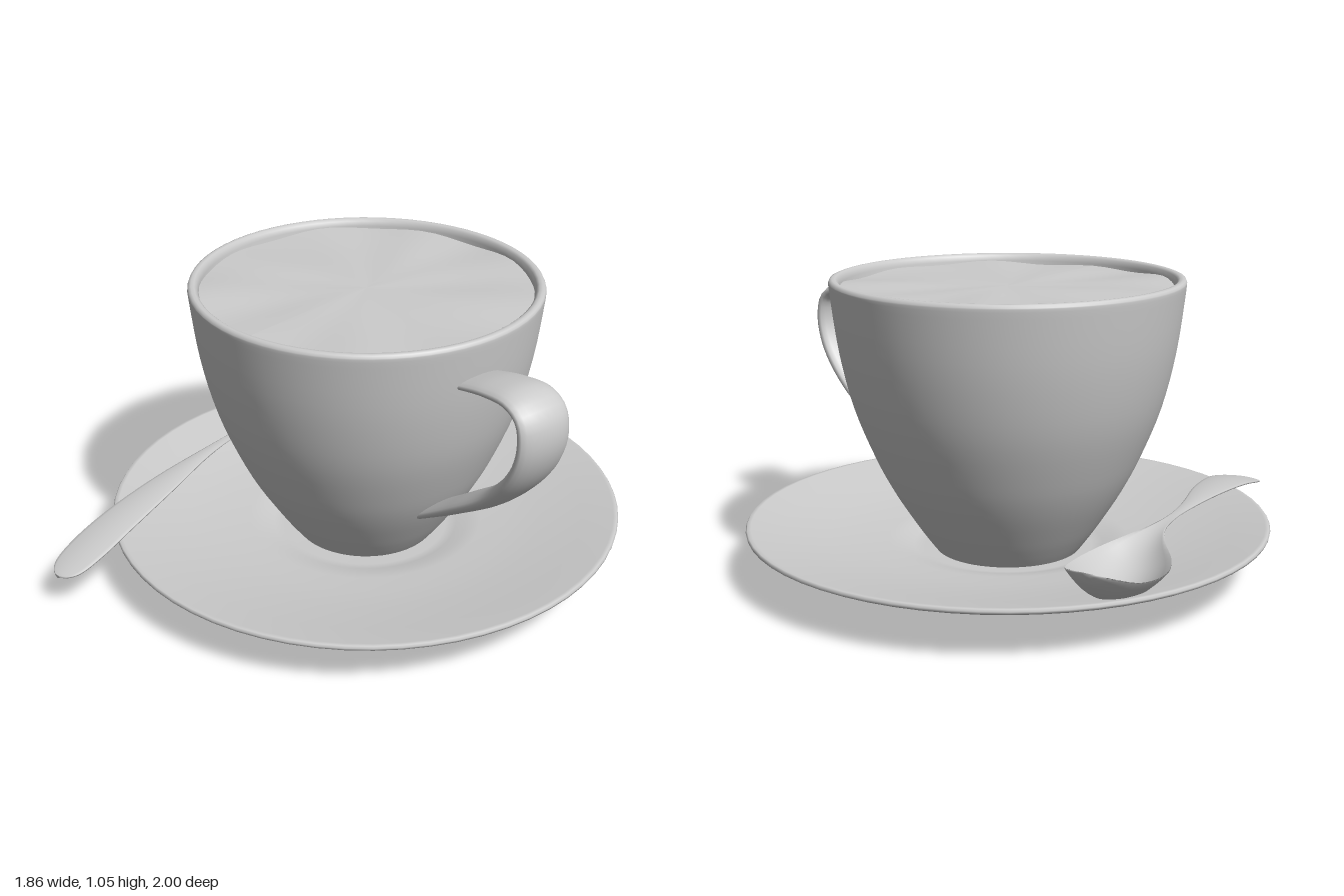
import * as THREE from 'three';

const material = new THREE.MeshStandardMaterial({ color: 0xcccccc, roughness: 0.6 });
const V2 = (p) => new THREE.Vector2(p[0], p[1]);
const V3 = (p) => new THREE.Vector3(...p);

function part(name, geometry, x = 0, z = 0) {
  const mesh = new THREE.Mesh(geometry, material);
  mesh.name = name;
  mesh.position.set(x, 0, z);
  return mesh;
}

// Skin over closed rings of Vector3, with a fan cap at each end.
function loft(rings) {
  const n = rings[0].length;
  const all = rings.flat();
  const index = [];
  for (let i = 0; i < rings.length - 1; i++) {
    for (let j = 0; j < n; j++) {
      const a = i * n + j, b = i * n + (j + 1) % n;
      index.push(a, b, a + n, b, b + n, a + n);
    }
  }
  const last = (rings.length - 1) * n;
  for (let j = 1; j < n - 1; j++) {
    index.push(0, j + 1, j, last, last + j, last + j + 1);
  }
  const geometry = new THREE.BufferGeometry().setFromPoints(all);
  geometry.setIndex(index);
  geometry.computeVertexNormals();
  return geometry;
}

// Shallow dish with a flat foot and a small well under the cup
function saucer() {
  const profile = [
    [0, 0], [0.35, 0], [0.35, 0], [0.45, 0.018], [0.57, 0.05], [0.75, 0.107], [0.915, 0.16],
    [0.928, 0.167], [0.93, 0.175], [0.925, 0.182], [0.912, 0.182],
    [0.8, 0.158], [0.65, 0.128], [0.52, 0.109], [0.43, 0.102], [0.38, 0.095],
    [0.34, 0.08], [0.3, 0.072], [0, 0.07],
  ];
  return new THREE.LatheGeometry(profile.map(V2), 64);
}

// Bowl of the cup: curved outer wall, rounded lip, inner wall and floor
function cup() {
  const outer = new THREE.SplineCurve([
    [0.26, 0.075], [0.29, 0.115], [0.335, 0.18], [0.41, 0.3], [0.47, 0.42],
    [0.54, 0.6], [0.587, 0.8], [0.613, 1.0], [0.615, 1.035],
  ].map(V2)).getPoints(32);
  const inner = [
    [0.611, 1.043], [0.603, 1.046], [0.592, 1.045], [0.583, 1.038], [0.578, 1.02],
    [0.572, 0.95], [0.55, 0.8], [0.5, 0.6], [0.43, 0.42], [0.3, 0.2], [0, 0.16],
  ].map(V2);
  return new THREE.LatheGeometry([V2([0, 0.075]), V2([0.26, 0.075]), ...outer, ...inner], 64);
}

// Drink surface with faint ripples that fade to the middle
function drink() {
  const profile = [];
  for (let i = 12; i >= 0; i--) profile.push(new THREE.Vector2(0.577 * i / 12, 1.012));
  const geometry = new THREE.LatheGeometry(profile, 64);
  const p = geometry.attributes.position;
  for (let i = 0; i < p.count; i++) {
    const r = Math.hypot(p.getX(i), p.getZ(i)) / 0.577;
    const a = Math.atan2(p.getZ(i), p.getX(i));
    p.setY(i, 1.012 + 0.005 * r * r * Math.sin(9 * a) + 0.004 * r * Math.sin(4 * a + 5 * r));
  }
  geometry.computeVertexNormals();
  return geometry;
}

// Flat oval ribbon swept along the handle curve
function handle() {
  const path = new THREE.CatmullRomCurve3([
    [0.575, 0.888, 0], [0.71, 0.918, 0], [0.82, 0.922, 0], [0.878, 0.885, 0], [0.894, 0.8, 0],
    [0.86, 0.69, 0], [0.75, 0.555, 0], [0.57, 0.425, 0], [0.385, 0.305, 0],
  ].map(V3));
  const side = new THREE.Vector3(0, 0, 1);
  const rings = [];
  for (let i = 0; i <= 48; i++) {
    const t = i / 48;
    const centre = path.getPointAt(t);
    const normal = path.getTangentAt(t).cross(side);
    const halfWidth = 0.092 + 0.016 * Math.sin(Math.PI * t);
    const halfDepth = 0.022 + 0.012 * Math.sin(Math.PI * t);
    const ring = [];
    for (let j = 0; j < 20; j++) {
      const a = j / 20 * Math.PI * 2;
      ring.push(centre.clone()
        .addScaledVector(side, Math.cos(a) * halfWidth)
        .addScaledVector(normal, Math.sin(a) * halfDepth));
    }
    rings.push(ring);
  }
  return loft(rings);
}

// Spoon: thin curved sections along z, dished at the bowl
function spoon() {
  // z, left x, right x, edge height, dish depth
  const stations = [
    [-0.693, -0.71, -0.68, 0.287, 0.0], [-0.67, -0.765, -0.625, 0.277, 0.025],
    [-0.6, -0.812, -0.56, 0.252, 0.065], [-0.5, -0.825, -0.525, 0.234, 0.085],
    [-0.4, -0.815, -0.512, 0.227, 0.083], [-0.3, -0.775, -0.522, 0.23, 0.06],
    [-0.2, -0.7, -0.555, 0.242, 0.025], [-0.1, -0.647, -0.582, 0.25, 0.004],
    [0.03, -0.62, -0.588, 0.252, 0], [0.2, -0.607, -0.556, 0.247, -0.003],
    [0.45, -0.595, -0.478, 0.231, -0.006], [0.7, -0.575, -0.417, 0.199, -0.008],
    [0.85, -0.555, -0.392, 0.167, -0.008], [0.95, -0.525, -0.394, 0.142, -0.006],
    [0.985, -0.495, -0.42, 0.133, -0.003], [0.997, -0.47, -0.445, 0.13, 0],
  ];
  const count = stations.length - 1;
  const edge = (k) => new THREE.CatmullRomCurve3(stations.map((s) => V3([s[k], s[3], s[0]])));
  const left = edge(1), right = edge(2);
  const dish = new THREE.SplineCurve(stations.map((s, i) => V2([i, s[4]])));
  const thickness = 0.012, steps = 12, rings = [];
  for (let i = 0; i <= count * 4; i++) {
    const t = i / (count * 4);
    const l = left.getPoint(t), r = right.getPoint(t), depth = dish.getPoint(t).y;
    const ring = [];
    const add = (u, drop) => {
      const bulge = 1 - (2 * u - 1) ** 2;
      const p = l.clone().lerp(r, u);
      p.y -= depth * bulge + drop;
      ring.push(p);
    };
    for (let j = steps; j >= 0; j--) add(j / steps, 0);
    for (let j = 0; j <= steps; j++) add(j / steps, thickness * (0.4 + 0.6 * Math.sin(Math.PI * j / steps)));
    rings.push(ring);
  }
  return loft(rings);
}

export function createModel() {
  const group = new THREE.Group();
  group.name = 'cupAndSaucer';
  const cupX = -0.003, cupZ = -0.075;
  const grip = part('cupHandle', handle(), cupX, cupZ);
  grip.rotation.y = -0.16;
  group.add(
    part('saucer', saucer(), 0, -0.07),
    part('cup', cup(), cupX, cupZ),
    part('drink', drink(), cupX, cupZ),
    grip,
    part('spoon', spoon()),
  );
  return group;
}
